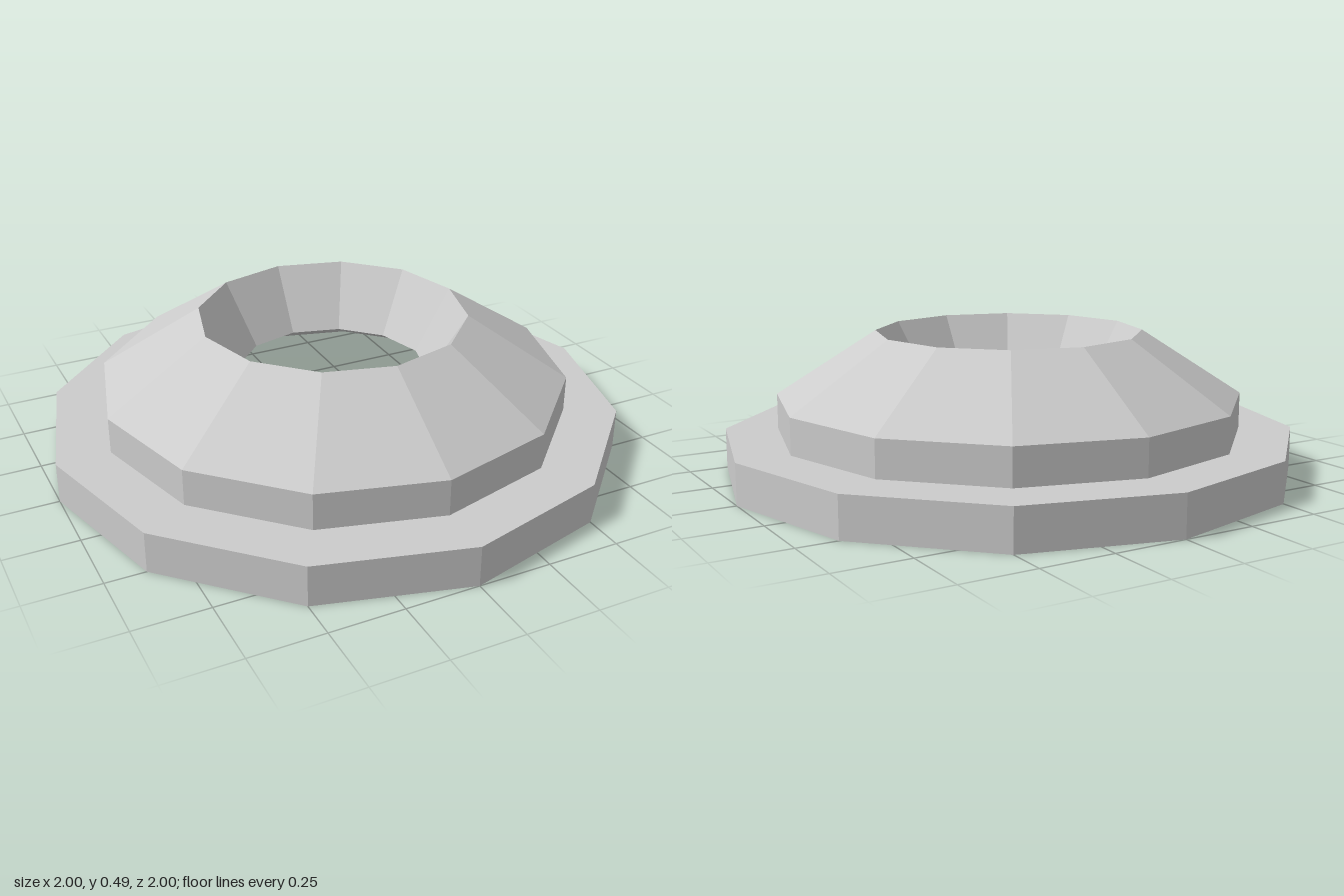
import * as THREE from 'three';

const SIDES = 12;

export function createModel() {
  const model = new THREE.Group();
  const material = new THREE.MeshStandardMaterial({
    color: 0xcccccc,
    flatShading: true,
    side: THREE.DoubleSide,
  });

  // Each part is an open, faceted ring swept from a [radius, height] profile
  const addRing = (name, profile) => {
    const points = profile.map(([r, y]) => new THREE.Vector2(r, y));
    const geometry = new THREE.LatheGeometry(points, SIDES).toNonIndexed();
    geometry.computeVertexNormals();
    const mesh = new THREE.Mesh(geometry, material);
    mesh.name = name;
    model.add(mesh);
  };

  // Wide base step: outer wall and flat ledge
  addRing('baseStep', [[1, 0], [1, 0.14], [0.815, 0.14]]);
  // Upright collar standing on the ledge
  addRing('collar', [[0.815, 0.14], [0.815, 0.265]]);
  // Sloping shoulder up to the rim
  addRing('shoulder', [[0.815, 0.265], [0.465, 0.49]]);
  // Funnel narrowing down from the rim to the throat
  addRing('funnel', [[0.465, 0.49], [0.335, 0.27]]);
  // Hidden skirt flaring out below the throat
  addRing('innerSkirt', [[0.335, 0.27], [0.595, 0.14]]);

  return model;
}
